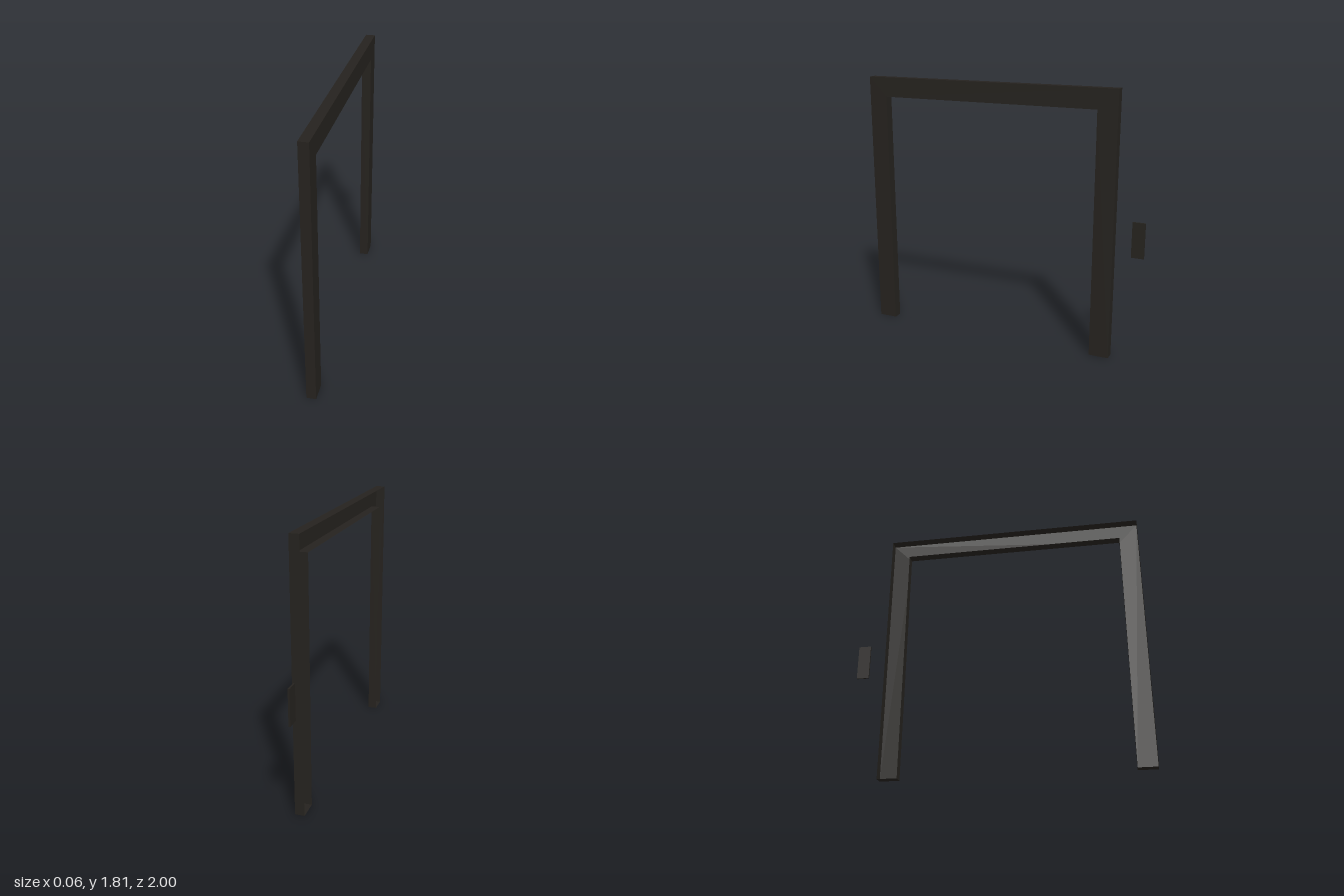
import * as THREE from 'three';

const HALF = 0.032; // half the frame's thickness along x

function mesh(name, geometry, material) {
  const m = new THREE.Mesh(geometry, material);
  m.name = name;
  return m;
}

// side walls following a closed outline, from z = -HALF to z = HALF
function wallGeometry(points) {
  const pos = [];
  points.forEach(([ax, ay], i) => {
    const [bx, by] = points[(i + 1) % points.length];
    pos.push(ax, ay, -HALF, bx, by, -HALF, bx, by, HALF);
    pos.push(ax, ay, -HALF, bx, by, HALF, ax, ay, HALF);
  });
  const g = new THREE.BufferGeometry();
  g.setAttribute('position', new THREE.Float32BufferAttribute(pos, 3));
  g.computeVertexNormals();
  return g;
}

export function createModel() {
  const group = new THREE.Group();
  group.name = 'doorFrame';
  const dark = new THREE.MeshStandardMaterial({ color: 0x25221e, side: THREE.DoubleSide });

  // frame outline, drawn counter-clockwise as (-z, y)
  const outline = [
    [-1, 0], [-0.87, 0], [-0.87, 1.675], [0.67, 1.675],
    [0.67, 0], [0.805, 0], [0.805, 1.81], [-1, 1.81],
  ];

  // face panel on +x; the frame is a hollow shell, open on -x
  const shape = new THREE.Shape(outline.map(([u, y]) => new THREE.Vector2(u, y)));
  const face = new THREE.ShapeGeometry(shape).translate(0, 0, HALF).rotateY(Math.PI / 2);
  group.add(mesh('frameFace', face, dark));

  // outer and inner edges of the frame, with closed feet
  group.add(mesh('frameWalls', wallGeometry(outline).rotateY(Math.PI / 2), dark));

  // small wall plate beside the frame
  const plate = new THREE.BoxGeometry(0.012, 0.24, 0.085).translate(-HALF + 0.006, 0.84, -0.9575);
  group.add(mesh('wallPlate', plate, dark));

  return group;
}
